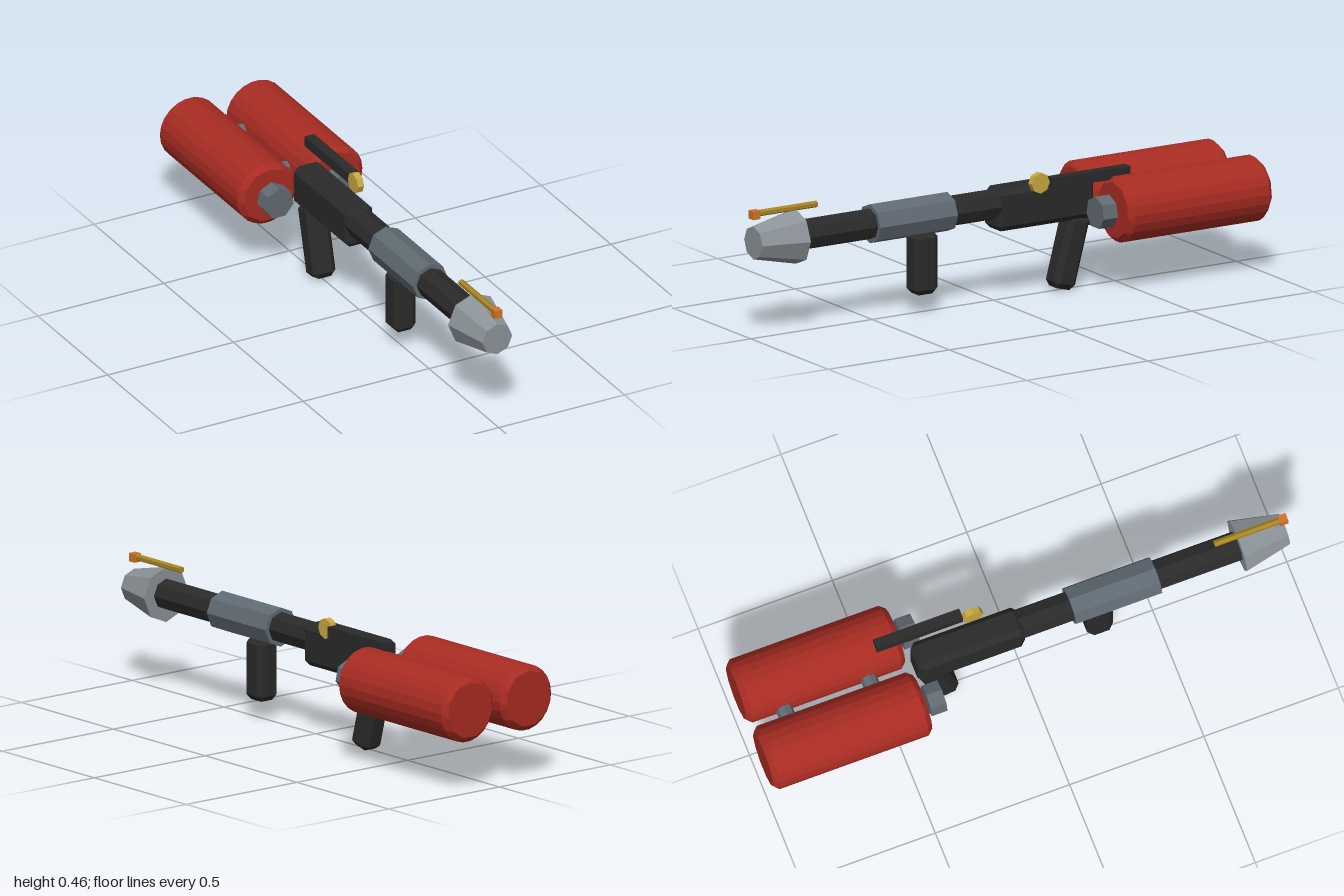
import * as THREE from 'three';
import { ConvexGeometry } from 'three/addons/geometries/ConvexGeometry.js';

const paint = (name, color) => {
  const m = new THREE.MeshStandardMaterial({ color, flatShading: true });
  m.name = name;
  return m;
};

// Faceted rod along z, with one corner pointing up
function rod(rFront, rBack, zFront, zBack, sides) {
  const g = new THREE.CylinderGeometry(rBack, rFront, zFront - zBack, sides);
  return g.rotateX(-Math.PI / 2).translate(0, 0, (zFront + zBack) / 2);
}

// Box with every edge and corner cut by c
function chamferBox(w, h, d, c) {
  const pts = [];
  for (const sx of [-1, 1]) for (const sy of [-1, 1]) for (const sz of [-1, 1]) {
    for (let full = 0; full < 3; full++) {
      const inset = [c, c, c];
      inset[full] = 0;
      pts.push(new THREE.Vector3(
        sx * (w / 2 - inset[0]), sy * (h / 2 - inset[1]), sz * (d / 2 - inset[2])));
    }
  }
  return new ConvexGeometry(pts);
}

// 22-sided tank tapering to an 11-sided flat cap at both ends
function tankGeometry() {
  const pts = [];
  const ring = (n, r, start, z) => {
    for (let i = 0; i < n; i++) {
      const a = start + (i / n) * Math.PI * 2;
      pts.push(new THREE.Vector3(Math.cos(a) * r, Math.sin(a) * r, z));
    }
  };
  for (const s of [-1, 1]) {
    ring(22, 0.117, 0, s * 0.277);
    ring(11, 0.1, Math.PI / 2, s * 0.296);
  }
  return new ConvexGeometry(pts);
}

export function createModel() {
  const model = new THREE.Group();
  const black = paint('black', 0x2a2a2a);
  const red = paint('red', 0xa82c22);
  const grey = paint('slate grey', 0x606a72);
  const steel = paint('light steel', 0x8b9297);
  const gold = paint('gold', 0xc8a840);
  const brass = paint('dark brass', 0xa88422);
  const orange = paint('orange', 0xd07424);

  const add = (name, geometry, material, x = 0, y = 0, z = 0) => {
    const mesh = new THREE.Mesh(geometry, material);
    mesh.name = name;
    mesh.position.set(x, y, z);
    model.add(mesh);
    return mesh;
  };

  // Barrel line
  const axis = 0.345;
  add('barrel', rod(0.055, 0.055, 0.83, -0.02, 8), black, 0, axis);
  add('barrelSleeve', rod(0.07, 0.07, 0.51, 0.19, 8), grey, 0, axis);
  add('nozzle', rod(0.059, 0.099, 0.99, 0.815, 8), steel, 0, axis - 0.002);

  // Igniter above the nozzle
  add('igniterRod', rod(0.012, 0.012, 0.97, 0.73, 6), brass, 0, 0.447);
  add('igniterTip', new THREE.BoxGeometry(0.03, 0.03, 0.03), orange, 0, 0.444, 0.985);

  // Body and grips
  add('receiver', chamferBox(0.11, 0.15, 0.4, 0.02), black, 0, 0.328, -0.188);
  add('frontGrip', chamferBox(0.088, 0.225, 0.096, 0.02), black, 0, 0.179, 0.295);
  const grip = add('rearGrip', chamferBox(0.088, 0.27, 0.092, 0.02), black, 0, 0.137, -0.305);
  grip.rotation.x = -0.26;

  // Side lever with its knob
  add('sideKnob', new THREE.CylinderGeometry(0.037, 0.037, 0.024, 8)
    .rotateZ(Math.PI / 2), gold, 0.067, 0.416, -0.145);
  add('sideBar', new THREE.BoxGeometry(0.038, 0.038, 0.32), black, 0.08, 0.414, -0.342);

  // Twin tanks with valves
  for (const [side, s] of [['left', 1], ['right', -1]]) {
    add(side + 'Tank', tankGeometry(), red, s * 0.132, 0.295, -0.704);
    add(side + 'Valve', rod(0.058, 0.058, -0.335, -0.393, 7), grey, s * 0.132, 0.295);
  }

  // Links between the tanks
  for (const z of [-0.865, -0.55]) {
    add('tankLink', new THREE.CylinderGeometry(0.03, 0.03, 0.1, 8)
      .rotateZ(Math.PI / 2), grey, 0, 0.295, z);
  }
  return model;
}
